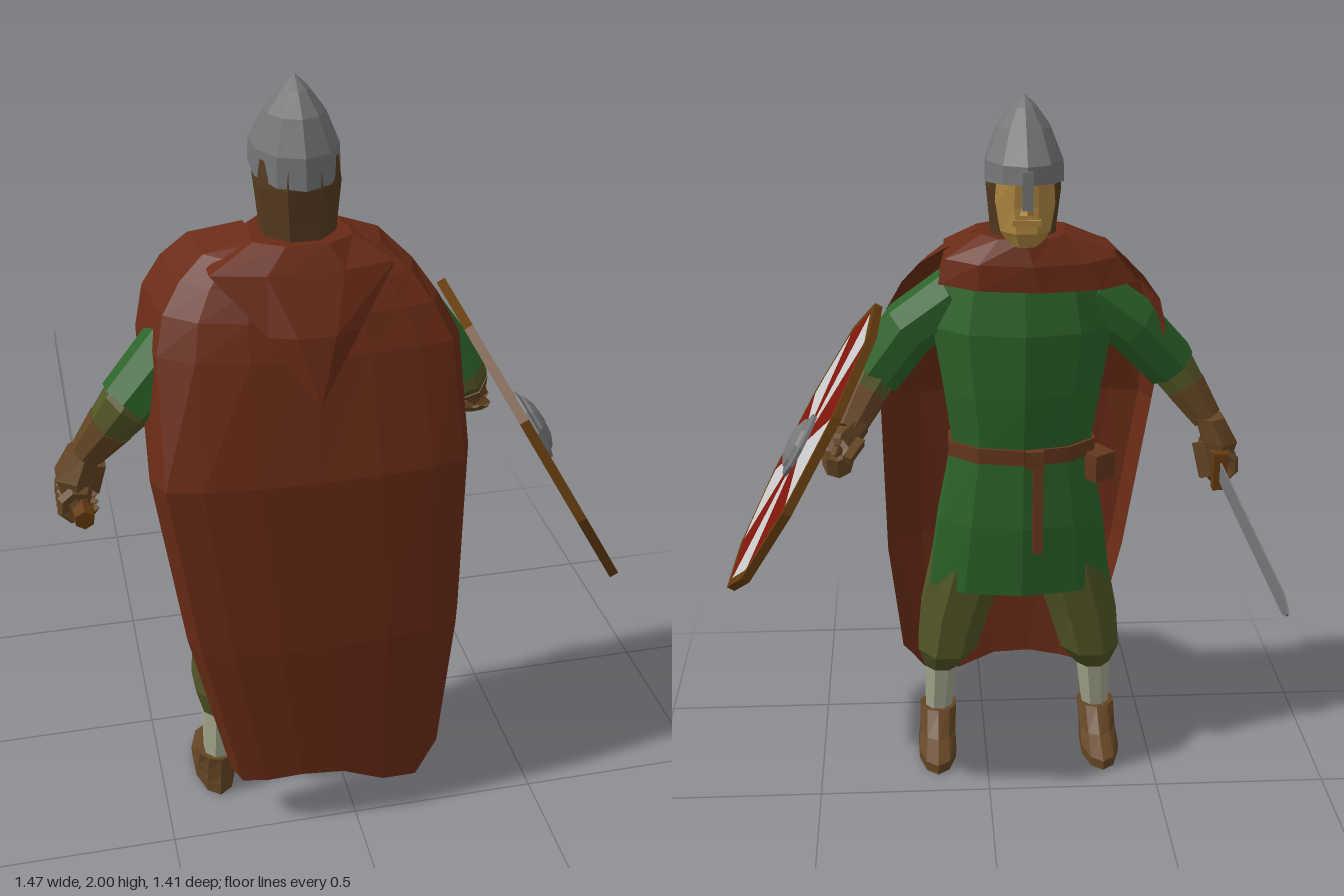
import * as THREE from 'three';

const mat = (color) => new THREE.MeshStandardMaterial({ color, flatShading: true, side: THREE.DoubleSide });
const M = {
  cape: mat(0x692b16), green: mat(0x2d642a), olive: mat(0x525526), brown: mat(0x644524), hair: mat(0x553b20),
  skin: mat(0xae8640), steel: mat(0x747678), sock: mat(0xa3a58c), leather: mat(0x66371d),
  wood: mat(0x643b0e), red: mat(0x80160c), white: mat(0xc4c4c4),
};

function add(parent, name, geo, material, pos = [0, 0, 0], rot = [0, 0, 0]) {
  const m = new THREE.Mesh(geo, material);
  m.name = name;
  m.position.set(...pos);
  m.rotation.set(...rot);
  parent.add(m);
  return m;
}

// Closed skin over rings [x, y, z, rx, rz], listed bottom to top; tilted rings follow the path
function loft(rings, n = 8, tilt = false) {
  const pos = [], idx = [], up = new THREE.Vector3(0, 1, 0);
  const at = (i) => new THREE.Vector3(...rings[Math.max(0, Math.min(rings.length - 1, i))].slice(0, 3));
  rings.forEach(([, , , rx, rz = rx], i) => {
    const q = new THREE.Quaternion();
    if (tilt) q.setFromUnitVectors(up, at(i + 1).sub(at(i - 1)).normalize());
    for (let j = 0; j < n; j++) {
      const a = ((j + 0.5) / n) * Math.PI * 2;
      pos.push(...new THREE.Vector3(Math.cos(a) * rx, 0, Math.sin(a) * rz).applyQuaternion(q).add(at(i)).toArray());
    }
  });
  const top = rings.length - 1, c0 = pos.length / 3;
  pos.push(...at(0).toArray(), ...at(top).toArray());
  for (let j = 0; j < n; j++) {
    const k = (j + 1) % n;
    for (let i = 0; i < top; i++) {
      const a = i * n + j, b = i * n + k;
      idx.push(a, a + n, b, b, a + n, b + n);
    }
    idx.push(c0, j, k, c0 + 1, top * n + k, top * n + j);
  }
  return build(pos, idx);
}

function build(pos, idx) {
  const g = new THREE.BufferGeometry();
  g.setAttribute('position', new THREE.Float32BufferAttribute(pos, 3));
  g.setIndex(idx);
  g.computeVertexNormals();
  return g;
}

// Cape: rows [y, right x, left x, right edge z, left edge z, back z], bowed towards the back
function capeGeometry() {
  const rows = [
    [1.635, -0.12, 0.11, 0.18, 0.2, 0.35], [1.6, -0.25, 0.21, 0.14, 0.2, 0.36], [1.54, -0.315, 0.28, 0.12, 0.27, 0.385],
    [1.47, -0.365, 0.33, 0.13, 0.33, 0.42], [1.38, -0.39, 0.375, 0.17, 0.37, 0.45], [1.08, -0.4, 0.4, 0.41, 0.41, 0.515],
    [0.6, -0.33, 0.39, 0.42, 0.42, 0.535], [0.2, -0.23, 0.35, 0.42, 0.42, 0.52],
  ];
  const hem = [0.155, 0.158, 0.165, 0.178, 0.17, 0.12, 0.11, 0.2, 0.26], n = hem.length, pos = [], idx = [];
  rows.forEach(([y, x0, x1, z0, z1, zb], i) => {
    for (let j = 0; j < n; j++) {
      const a = (Math.PI * j) / (n - 1), u = (1 - Math.cos(a)) / 2, edge = z0 + (z1 - z0) * u;
      pos.push(x0 + (x1 - x0) * u, i === rows.length - 1 ? hem[j] : y,
        edge + (zb - edge) * Math.pow(Math.max(0, Math.sin(a)), 0.45));
      if (i && j) {
        const d = i * n + j, c = d - 1, b = d - n;
        idx.push(b - 1, c, b, b, c, d);
      }
    }
  });
  return build(pos, idx);
}

// Fist with fingers curled round the z axis
function fist(name, side) {
  const g = new THREE.Group();
  g.name = name;
  add(g, 'palm', loft([[0, -0.04, 0, 0.035, 0.055], [0, 0.04, 0, 0.055, 0.068], [side * -0.03, 0.11, 0, 0.045, 0.05]], 6), M.brown);
  for (let i = 0; i < 4; i++)
    add(g, 'finger', new THREE.TorusGeometry(0.038, 0.018, 5, 6, 5), M.brown, [0, -0.025, -0.05 + i * 0.033], [0, 0, 1]);
  add(g, 'thumb', new THREE.BoxGeometry(0.03, 0.1, 0.035), M.brown, [side * -0.055, -0.005, -0.05], [0.3, 0, side * 0.2]);
  return g;
}

function makeShield() {
  const g = new THREE.Group();
  g.name = 'shield';
  const board = new THREE.CylinderGeometry(0.45, 0.45, 0.018, 10, 1, false, Math.PI / 2).rotateX(Math.PI / 2);
  add(g, 'shieldBoard', board, M.wood);
  const rim = new THREE.CylinderGeometry(0.458, 0.458, 0.024, 10, 1, true, Math.PI / 2).rotateX(Math.PI / 2);
  add(g, 'shieldRim', rim, M.wood);
  for (const z of [-0.012, 0.012])
    add(g, 'rimFace', new THREE.RingGeometry(0.43, 0.458, 10), M.wood, [0, 0, z]);
  for (let i = 0; i < 10; i++)
    add(g, 'shieldPanel', new THREE.CircleGeometry(0.432, 1, i * Math.PI / 5, Math.PI / 5), i % 2 ? M.red : M.white, [0, 0, 0.0105]);
  const profile = [[0.1, 0.008], [0.1, 0.02], [0.08, 0.026], [0.075, 0.034], [0.045, 0.046], [0, 0.05]];
  const boss = new THREE.LatheGeometry(profile.map((p) => new THREE.Vector2(...p)), 10).rotateX(Math.PI / 2);
  add(g, 'shieldBoss', boss, M.steel);
  g.rotation.set(-0.515, 1.527, 0, 'YXZ');
  g.position.set(0.617, 1.01, 0.245);
  return g;
}

function makeSword() {
  const g = new THREE.Group();
  g.name = 'sword';
  const outline = [[0, -0.029], [0.79, -0.027], [0.825, -0.015], [0.84, 0], [0.825, 0.015], [0.79, 0.027], [0, 0.029]];
  const shape = new THREE.Shape(outline.map((p) => new THREE.Vector2(...p)));
  const blade = new THREE.ExtrudeGeometry(shape, { depth: 0.004, bevelEnabled: false }).translate(0, 0, -0.002).rotateY(Math.PI / 2);
  add(g, 'blade', blade, M.steel, [0, 0, 0.13]);
  add(g, 'guard', new THREE.BoxGeometry(0.04, 0.11, 0.03), M.wood, [0, 0, 0.145]);
  add(g, 'grip', new THREE.CylinderGeometry(0.016, 0.016, 0.2, 6), M.leather, [0, 0, 0.25], [Math.PI / 2, 0, 0]);
  add(g, 'pommel', new THREE.CylinderGeometry(0.025, 0.03, 0.04, 6), M.wood, [0, 0, 0.345], [Math.PI / 2, 0, 0]);
  g.position.set(-0.56, 0.957, 0);
  return g;
}

export function createModel() {
  const root = new THREE.Group();
  root.name = 'shieldWarrior';
  const body = new THREE.Group();
  body.name = 'body';
  body.position.x = -0.1;
  root.add(body);

  // Tunic, belt, strap and pouch
  add(body, 'tunic', loft([[0, 0.58, 0.262, 0.28, 0.14], [0, 0.8, 0.24, 0.25, 0.135], [0, 1.03, 0.23, 0.205, 0.12],
    [0, 1.2, 0.23, 0.23, 0.14], [0, 1.38, 0.235, 0.26, 0.15], [0, 1.5, 0.24, 0.23, 0.13], [0, 1.59, 0.24, 0.1, 0.09]], 10), M.green);
  add(body, 'belt', loft([[0, 1.0, 0.23, 0.217, 0.13], [0, 1.045, 0.23, 0.217, 0.13]], 10), M.leather);
  add(body, 'beltStrap', new THREE.BoxGeometry(0.03, 0.27, 0.015), M.leather, [-0.04, 0.87, 0.1], [0.06, 0, 0]);
  add(body, 'buckle', new THREE.BoxGeometry(0.05, 0.05, 0.02), M.leather, [-0.03, 1.02, 0.1]);
  add(body, 'pouch', new THREE.BoxGeometry(0.07, 0.08, 0.09), M.leather, [-0.21, 0.97, 0.19], [0, 0.6, 0]);

  // Legs and shoes
  for (const s of [-1, 1]) {
    add(body, 'trouserLeg', loft([[s * 0.232, 0.27, 0.295, 0.055, 0.06], [s * 0.215, 0.35, 0.28, 0.095, 0.12],
      [s * 0.19, 0.48, 0.277, 0.11, 0.118], [s * 0.14, 0.66, 0.265, 0.125, 0.11]]), M.olive);
    add(body, 'sock', loft([[s * 0.245, 0.1, 0.3, 0.042, 0.045], [s * 0.232, 0.29, 0.295, 0.055, 0.06]]), M.sock);
    add(body, 'shoe', loft([[s * 0.25, 0, 0.22, 0.058, 0.137], [s * 0.25, 0.03, 0.22, 0.06, 0.137],
      [s * 0.248, 0.065, 0.262, 0.056, 0.092], [s * 0.245, 0.125, 0.298, 0.058, 0.058]], 10), M.brown);
  }

  // Arms: sleeve, forearm and bracer along shoulder, elbow and wrist
  const arms = [
    { s: -1, elbow: [-0.43, 1.23, 0.29], wrist: [-0.535, 1.08, 0.245] },
    { s: 1, elbow: [0.41, 1.22, 0.28], wrist: [0.49, 1.1, 0.13] },
  ];
  for (const { s, elbow, wrist } of arms) {
    const mix = (t) => elbow.map((e, i) => e + (wrist[i] - e) * t);
    add(body, 'sleeve', loft([[...elbow, 0.078], [s * 0.31, 1.36, 0.262, 0.083], [s * 0.18, 1.455, 0.25, 0.085]], 8, true), M.green);
    add(body, 'forearm', loft([[...mix(0.6), 0.055], [...mix(0), 0.07], [s * 0.39, 1.28, 0.28, 0.06]], 8, true), M.olive);
    add(body, 'bracer', loft([[...mix(1), 0.045], [...mix(0.4), 0.062]], 8, true), M.brown);
  }
  const right = fist('rightHand', -1);
  right.position.set(-0.57, 0.98, 0.235);
  const left = fist('leftHand', 1);
  left.position.set(0.51, 1.06, 0.09);
  left.rotation.set(0.8, 0, 0.3);
  left.scale.setScalar(0.8);
  body.add(right, left, makeSword(), makeShield());

  // Cape, shoulder mantle and hood lying on the back
  add(body, 'cape', capeGeometry(), M.cape);
  add(body, 'mantle', loft([[-0.04, 1.5, 0.24, 0.285, 0.145], [-0.02, 1.57, 0.24, 0.245, 0.14], [0, 1.635, 0.24, 0.12, 0.115]], 10), M.cape);
  add(body, 'hood', loft([[0, 1.29, 0.505, 0.005, 0.012], [0, 1.45, 0.43, 0.12, 0.05],
    [-0.01, 1.58, 0.345, 0.24, 0.06], [0, 1.635, 0.29, 0.13, 0.08]], 8), M.cape);

  // Head and face
  add(body, 'hair', loft([[0, 1.58, 0.25, 0.09, 0.1], [0, 1.66, 0.25, 0.096, 0.1], [0, 1.76, 0.245, 0.107, 0.11], [0, 1.82, 0.24, 0.1, 0.11]]), M.hair);
  add(body, 'face', loft([[0, 1.62, 0.16, 0.045, 0.05], [0, 1.66, 0.165, 0.072, 0.075], [0, 1.73, 0.175, 0.085, 0.08],
    [0, 1.81, 0.18, 0.08, 0.09]]), M.skin);
  add(body, 'nose', new THREE.ConeGeometry(0.02, 0.06, 4), M.skin, [0, 1.74, 0.098], [0.2, 0, 0]);
  add(body, 'moustache', new THREE.BoxGeometry(0.075, 0.015, 0.02), M.skin, [0, 1.69, 0.1]);

  // Helmet with nose guard, its rim raised a little at the front
  const helmet = loft([[0, 1.765, 0.215, 0.108, 0.148], [0, 1.84, 0.215, 0.106, 0.142], [0, 1.92, 0.23, 0.072, 0.09],
    [0, 1.97, 0.23, 0.034, 0.045], [0, 2, 0.23, 0.002, 0.002]], 10);
  const p = helmet.attributes.position;
  for (let i = 0; i < p.count; i++)
    if (p.getY(i) < 1.8) p.setY(i, p.getY(i) + (0.36 - p.getZ(i)) * 0.1);
  add(body, 'helmet', helmet, M.steel);
  add(body, 'noseGuard', new THREE.BoxGeometry(0.028, 0.1, 0.014), M.steel, [0, 1.78, 0.069], [0.06, 0, 0]);
  return root;
}
